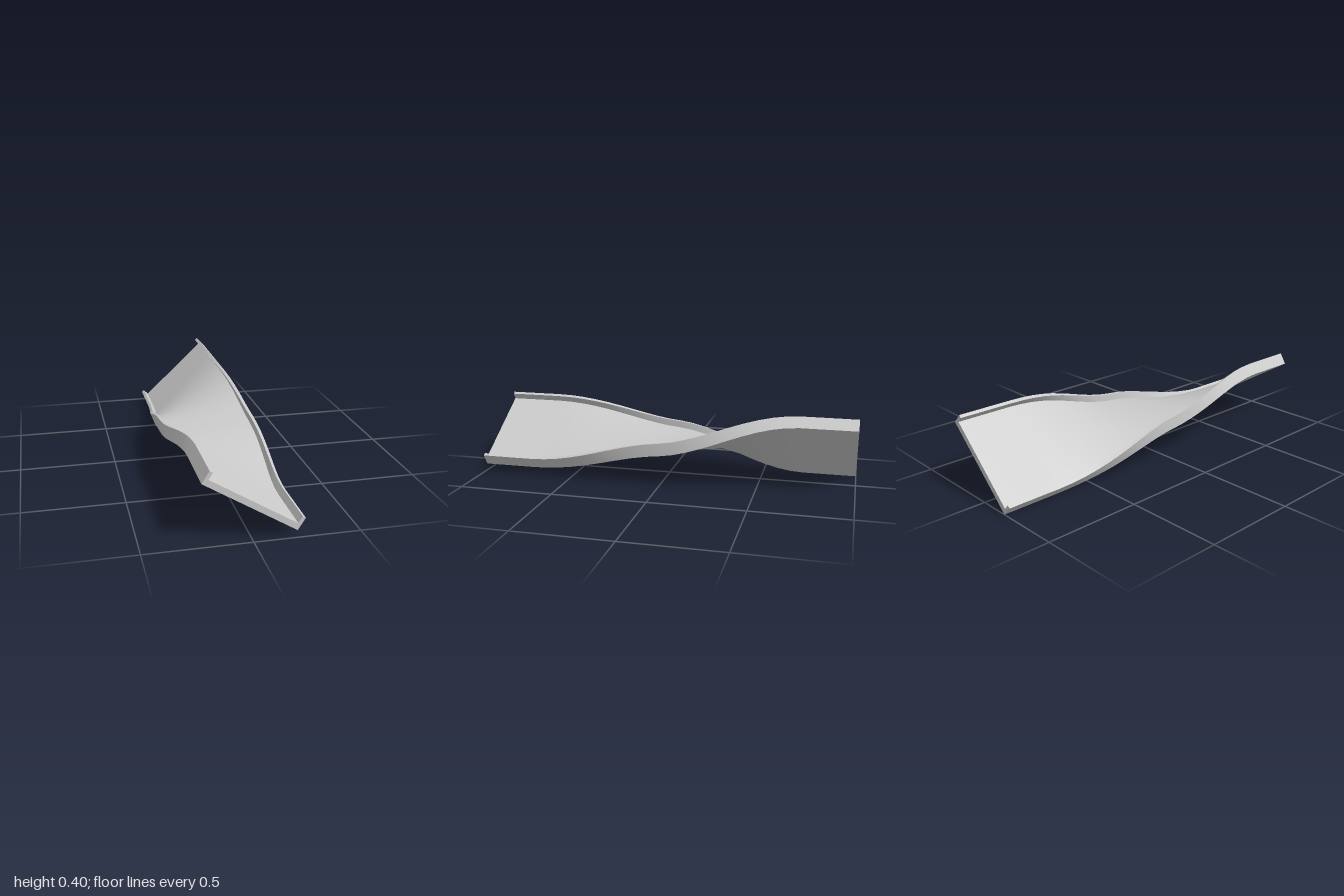
import * as THREE from 'three';

const HALF_W = 0.2555, HALF_H = 0.0335, FLOOR = 0.03, WALL = 0.017;
const CENTRE_Y = 0.199, TWIST_END = 0.72, SEGMENTS = 28;
const FRONT_ANGLE = THREE.MathUtils.degToRad(-31.7);
const BACK_ANGLE = THREE.MathUtils.degToRad(43);

// U-shaped section, counter-clockwise seen from the front
const section = [
  [-HALF_W, -HALF_H], [HALF_W, -HALF_H], [HALF_W, HALF_H], [HALF_W - WALL, HALF_H],
  [HALF_W - WALL, -HALF_H + FLOOR], [-HALF_W + WALL, -HALF_H + FLOOR],
  [-HALF_W + WALL, HALF_H], [-HALF_W, HALF_H],
].map(([x, y]) => new THREE.Vector2(x, y));

// Roll of the section: level in the middle, eased to a straight run at each end
function roll(z) {
  const t = Math.min(Math.abs(z) / TWIST_END, 1);
  const ease = 0.75 * t * t * (3 - 2 * t) + 0.25 * Math.sin(t * Math.PI / 2);
  return ease * (z > 0 ? FRONT_ANGLE : BACK_ANGLE);
}

// One strip per section side keeps the long edges sharp and the twist smooth
function strip(a, b) {
  const pos = [], index = [], origin = new THREE.Vector2();
  for (let i = 0; i <= SEGMENTS; i++) {
    const z = 1 - 2 * i / SEGMENTS;
    for (const p of [a, b]) {
      const q = p.clone().rotateAround(origin, roll(z));
      pos.push(q.x, q.y, z);
    }
    if (i < SEGMENTS) {
      const k = 2 * i;
      index.push(k, k + 2, k + 1, k + 1, k + 2, k + 3);
    }
  }
  const geo = new THREE.BufferGeometry();
  geo.setAttribute('position', new THREE.Float32BufferAttribute(pos, 3));
  geo.setIndex(index);
  geo.computeVertexNormals();
  return geo;
}

export function createModel() {
  const group = new THREE.Group();
  group.name = 'twistedChannel';
  const material = new THREE.MeshStandardMaterial({ color: 0xcccccc });
  const add = (geo, name) => {
    const mesh = new THREE.Mesh(geo, material);
    mesh.name = name;
    mesh.position.y = CENTRE_Y;
    group.add(mesh);
  };

  // Sides of the channel
  const names = ['underside', 'leftWallOuter', 'leftWallTop', 'leftWallInner',
    'floor', 'rightWallInner', 'rightWallTop', 'rightWallOuter'];
  section.forEach((p, i) => add(strip(p, section[(i + 1) % section.length]), names[i]));

  // End faces
  const shape = new THREE.Shape(section);
  add(new THREE.ShapeGeometry(shape).rotateZ(FRONT_ANGLE).translate(0, 0, 1), 'frontEnd');
  add(new THREE.ShapeGeometry(shape).rotateZ(-BACK_ANGLE).rotateY(Math.PI).translate(0, 0, -1), 'backEnd');
  return group;
}
